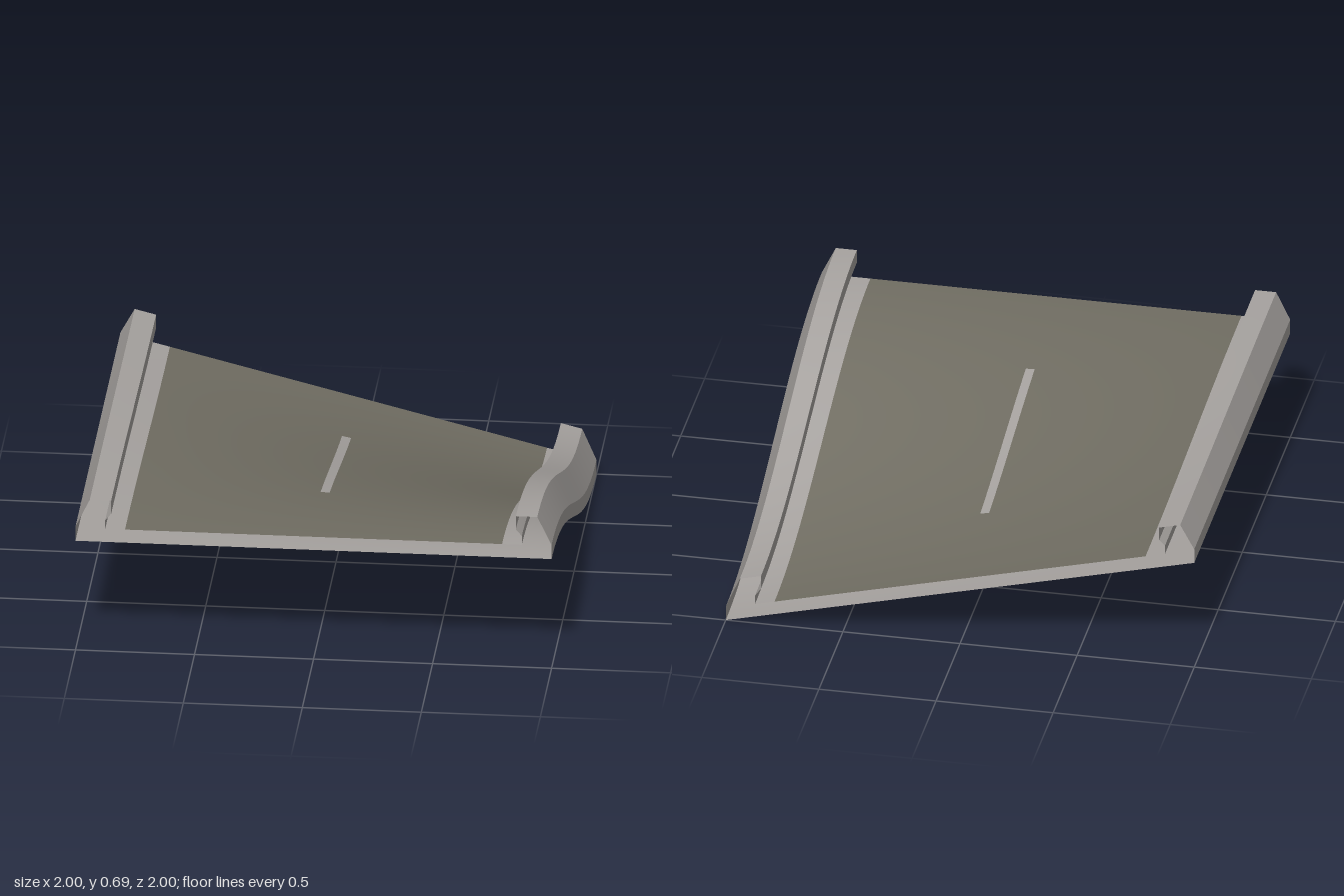
import * as THREE from 'three';
import { mergeGeometries } from 'three/addons/utils/BufferGeometryUtils.js';

const concrete = new THREE.MeshStandardMaterial({ color: 0xa6a29f, side: THREE.DoubleSide });
concrete.name = 'light concrete';
const asphalt = new THREE.MeshStandardMaterial({ color: 0x706d62, side: THREE.DoubleSide });
asphalt.name = 'worn asphalt';

// The left edge stays level while the right edge sinks in an S-curve towards the back.
const sink = (x, z) => 0.25 * (x + 1) / 2 * (1 - Math.cos(Math.PI * (1 - z) / 2));

// Sweeps one straight profile segment along z; normals point to the left of a -> b.
function strip([ax, ay], [bx, by], z0 = -1, z1 = 1) {
  const rows = 40;
  const cols = Math.max(1, Math.ceil(Math.abs(bx - ax) * 10));
  const pos = [], index = [];
  for (let j = 0; j <= rows; j++) {
    const z = z0 + (z1 - z0) * j / rows;
    for (let i = 0; i <= cols; i++) {
      const x = ax + (bx - ax) * i / cols;
      const y = ay + (by - ay) * i / cols;
      pos.push(x, y - sink(x, z), z);
      if (i < cols && j < rows) {
        const a = j * (cols + 1) + i, b = a + 1, c = a + cols + 1, d = c + 1;
        index.push(a, c, b, b, c, d);
      }
    }
  }
  const g = new THREE.BufferGeometry();
  g.setAttribute('position', new THREE.Float32BufferAttribute(pos, 3));
  g.setIndex(index);
  g.computeVertexNormals();
  return g;
}

// Joins the strips of a whole profile, keeping its corners sharp.
function sweep(name, points, material, z0, z1) {
  const parts = points.slice(1).map((p, i) => strip(points[i], p, z0, z1));
  const mesh = new THREE.Mesh(mergeGeometries(parts), material);
  mesh.name = name;
  return mesh;
}

const mirror = (points) => points.map(([x, y]) => [-x, y]).reverse();

export function createModel() {
  const group = new THREE.Group();
  group.name = 'twistedRoadRamp';

  // Curbs: hollow, open at both ends, with an overhanging inner lip
  const curb = [[-1, 0.5], [-1, 0.565], [-0.94, 0.69], [-0.85, 0.69],
    [-0.85, 0.63], [-0.875, 0.6], [-0.875, 0.56]];
  group.add(sweep('rightCurb', curb, concrete));
  group.add(sweep('leftCurb', mirror(curb), concrete));

  // Pale gutter strips beside the curbs
  const gutter = [[-0.875, 0.56], [-0.792, 0.56]];
  group.add(sweep('rightGutter', gutter, concrete));
  group.add(sweep('leftGutter', mirror(gutter), concrete));

  // Road deck, painted centre dash and underside
  group.add(sweep('roadDeck', [[-0.792, 0.56], [0.792, 0.56]], asphalt));
  group.add(sweep('centreDash', [[-0.022, 0.563], [0.016, 0.563]], concrete, -0.5, 0.45));
  group.add(sweep('underside', [[1, 0.5], [-1, 0.5]], concrete));

  return group;
}
